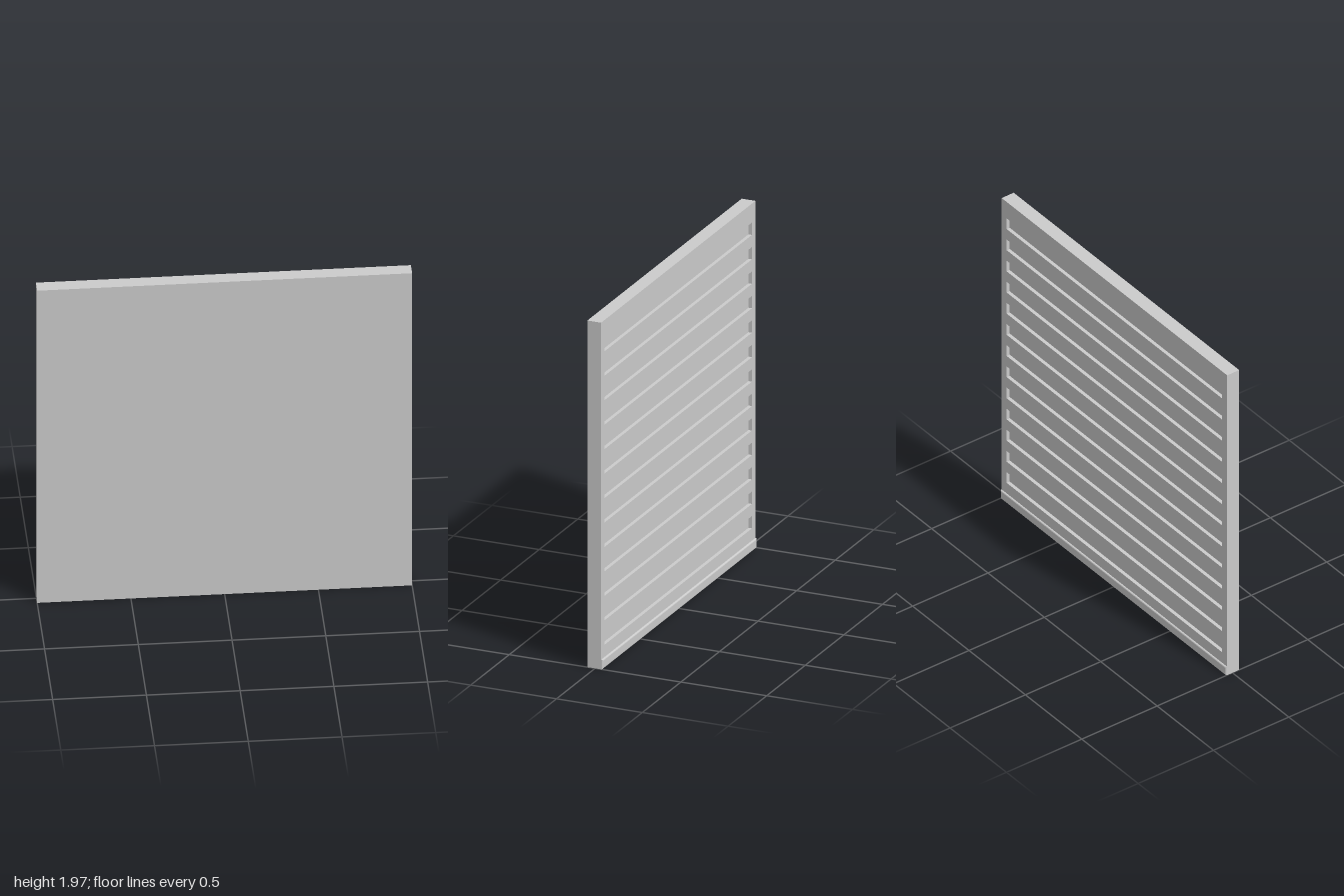
import * as THREE from 'three';

const W = 2, H = 1.97, FRONT = 0.045, BACK = -0.035, GROOVE_DEPTH = 0.02;

const material = new THREE.MeshStandardMaterial({ color: 0xcccccc });

// Traces a rectangle on a Shape or Path
function rect(path, x0, y0, x1, y1) {
  path.moveTo(x0, y0);
  path.lineTo(x1, y0);
  path.lineTo(x1, y1);
  path.lineTo(x0, y1);
  path.closePath();
  return path;
}

function addPart(group, name, geometry) {
  const mesh = new THREE.Mesh(geometry, material);
  mesh.name = name;
  group.add(mesh);
}

export function createModel() {
  const group = new THREE.Group();
  group.name = 'groovedPanel';

  // Solid front slab, whose back face is the floor of the grooves
  const floor = BACK + GROOVE_DEPTH;
  const slab = new THREE.BoxGeometry(W, H, FRONT - floor);
  slab.translate(0, H / 2, (FRONT + floor) / 2);
  addPart(group, 'frontSlab', slab);

  // Back layer with thirteen horizontal grooves cut through it
  const face = rect(new THREE.Shape(), -W / 2, 0, W / 2, H);
  const count = 13, pitch = 0.139, grooveHeight = 0.07, firstY = 0.124, endX = W / 2 - 0.045;
  for (let i = 0; i < count; i++) {
    const y = firstY + i * pitch;
    face.holes.push(rect(new THREE.Path(), -endX, y, endX, y + grooveHeight));
  }
  const back = new THREE.ExtrudeGeometry(face, { depth: GROOVE_DEPTH, bevelEnabled: false });
  back.translate(0, 0, BACK);
  addPart(group, 'groovedBack', back);

  // Shallow rounded lip along the bottom of the back
  const b = 0.008, lipHeight = 0.055;
  const lipShape = rect(new THREE.Shape(), -W / 2 + b, b, W / 2 - b, lipHeight - b);
  const lip = new THREE.ExtrudeGeometry(lipShape, {
    depth: 0.004, bevelThickness: b, bevelSize: b, bevelSegments: 4,
  });
  lip.translate(0, 0, -0.045 + b);
  addPart(group, 'bottomLip', lip);

  return group;
}
